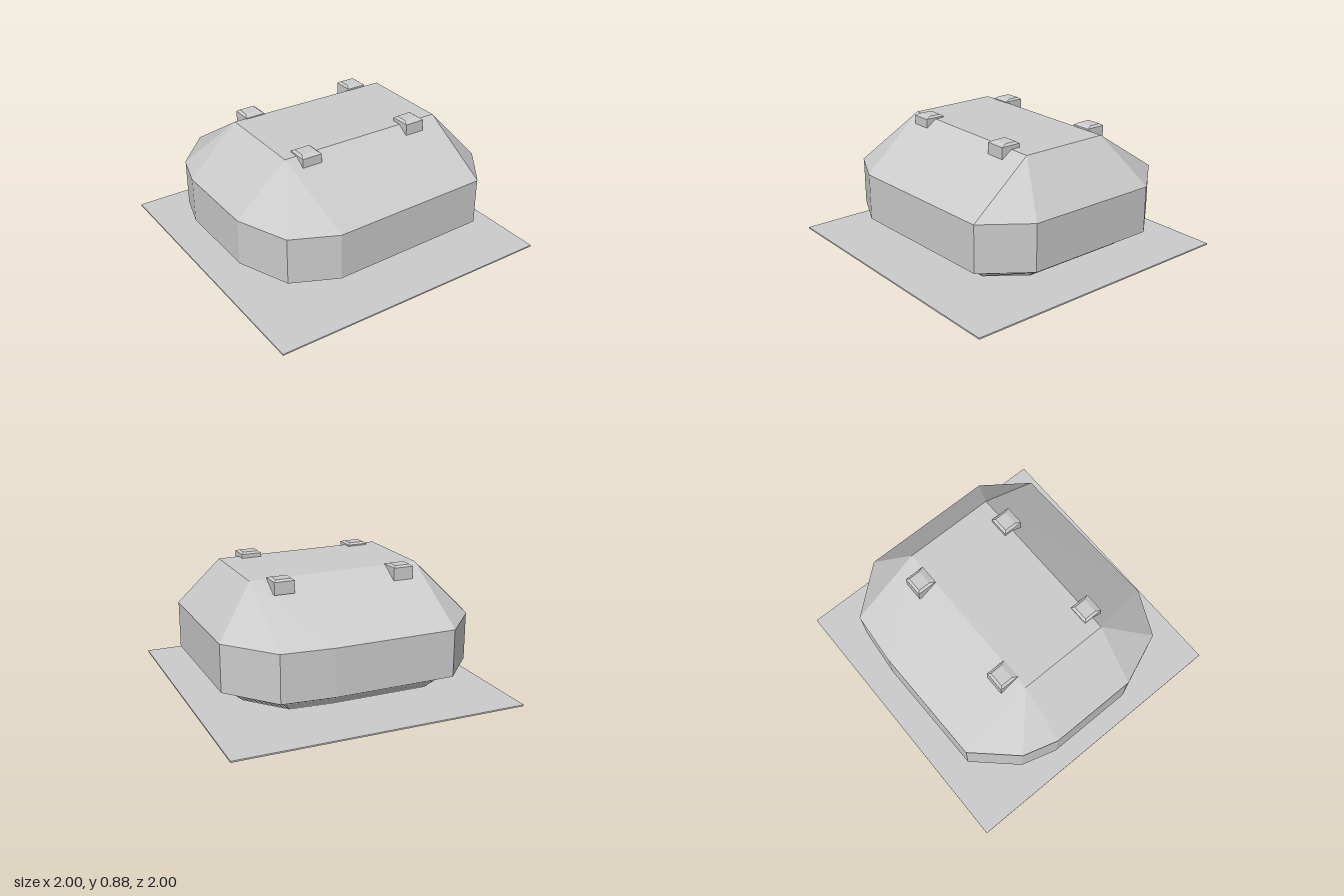
import * as THREE from 'three';

// Plan of the building as [x, z], counter-clockwise from above
const OUTLINE = [
  [-0.45, 0.8], [0.66, 0.77], [0.88, 0.47], [0.88, -0.47], [0.61, -0.79], [0.26, -0.82],
  [-0.57, -0.81], [-0.82, -0.54], [-0.89, -0.3], [-0.89, 0.31], [-0.75, 0.66],
];
// Corners of the flat roof, and the corner each plan point rises to
const ROOF = [[-0.55, 0.855, 0.33], [0.62, 0.845, 0.33], [0.62, 0.845, -0.3], [-0.55, 0.855, -0.3]];
const ROOF_CORNER = [0, 1, 1, 2, 2, 2, 3, 3, 3, 0, 0];

const ring = (y, sx = 1, sz = sx) => OUTLINE.map(([x, z]) => [x * sx, y, z * sz]);

// Closed solid between two rings with equal point counts
function loft(lower, upper) {
  const pos = [];
  const tri = (a, b, c) => pos.push(...a, ...b, ...c);
  const n = lower.length;
  for (let i = 0; i < n; i++) {
    const j = (i + 1) % n;
    tri(lower[i], lower[j], upper[j]);
    if (upper[i] !== upper[j]) tri(lower[i], upper[j], upper[i]);
    if (i > 0 && i < n - 1) {
      tri(lower[0], lower[j], lower[i]);
      const [a, b, c] = [upper[0], upper[i], upper[j]];
      if (a !== b && b !== c && a !== c) tri(a, b, c);
    }
  }
  const geo = new THREE.BufferGeometry();
  geo.setAttribute('position', new THREE.Float32BufferAttribute(pos, 3));
  geo.computeVertexNormals();
  return geo;
}

export function createModel() {
  const model = new THREE.Group();
  model.name = 'building';
  const material = new THREE.MeshStandardMaterial({ color: 0xcccccc, flatShading: true });
  const add = (name, geometry, parent = model) => {
    const mesh = new THREE.Mesh(geometry, material);
    mesh.name = name;
    parent.add(mesh);
    return mesh;
  };

  // Thin square ground plate
  add('basePlate', new THREE.BoxGeometry(2, 0.01, 2)).position.y = 0.005;

  // Terraced foot: two flights of thin layers with a wider ledge between
  const foot = new THREE.Group();
  foot.name = 'steppedFoot';
  model.add(foot);
  const flight = (y0, y1, s0, s1, count) => {
    const h = (y1 - y0) / count;
    for (let i = 0; i < count; i++) {
      const s = s0 + ((s1 - s0) * i) / (count - 1);
      add('footLayer', loft(ring(y0 + i * h, s, s * 0.98), ring(y0 + (i + 1) * h, s, s * 0.98)), foot);
    }
  };
  flight(0.01, 0.09, 0.58, 0.7, 7);
  flight(0.09, 0.205, 0.81, 0.935, 9);

  // Upright walls
  add('walls', loft(ring(0.205), ring(0.525)));

  // Sloping roof with flat top
  add('roof', loft(ring(0.525, 1.003), ROOF_CORNER.map((k) => ROOF[k])));

  // Small roof blocks with bevelled tops: x, z, top height
  const blocks = [[-0.397, 0.335, 0.875], [0.407, 0.335, 0.885], [-0.397, -0.36, 0.872], [0.437, -0.365, 0.87]];
  const square = (r, y, front = r) => [[-r, y, front], [r, y, front], [r, y, -r], [-r, y, -r]];
  for (const [x, z, top] of blocks) {
    const block = new THREE.Group();
    block.name = 'roofBlock';
    block.position.set(x, 0, z);
    model.add(block);
    add('blockBody', loft(square(0.069, 0.775), square(0.069, top - 0.012)), block);
    add('blockCap', loft(square(0.069, top - 0.012), square(0.052, top, 0.03)), block);
  }
  return model;
}
